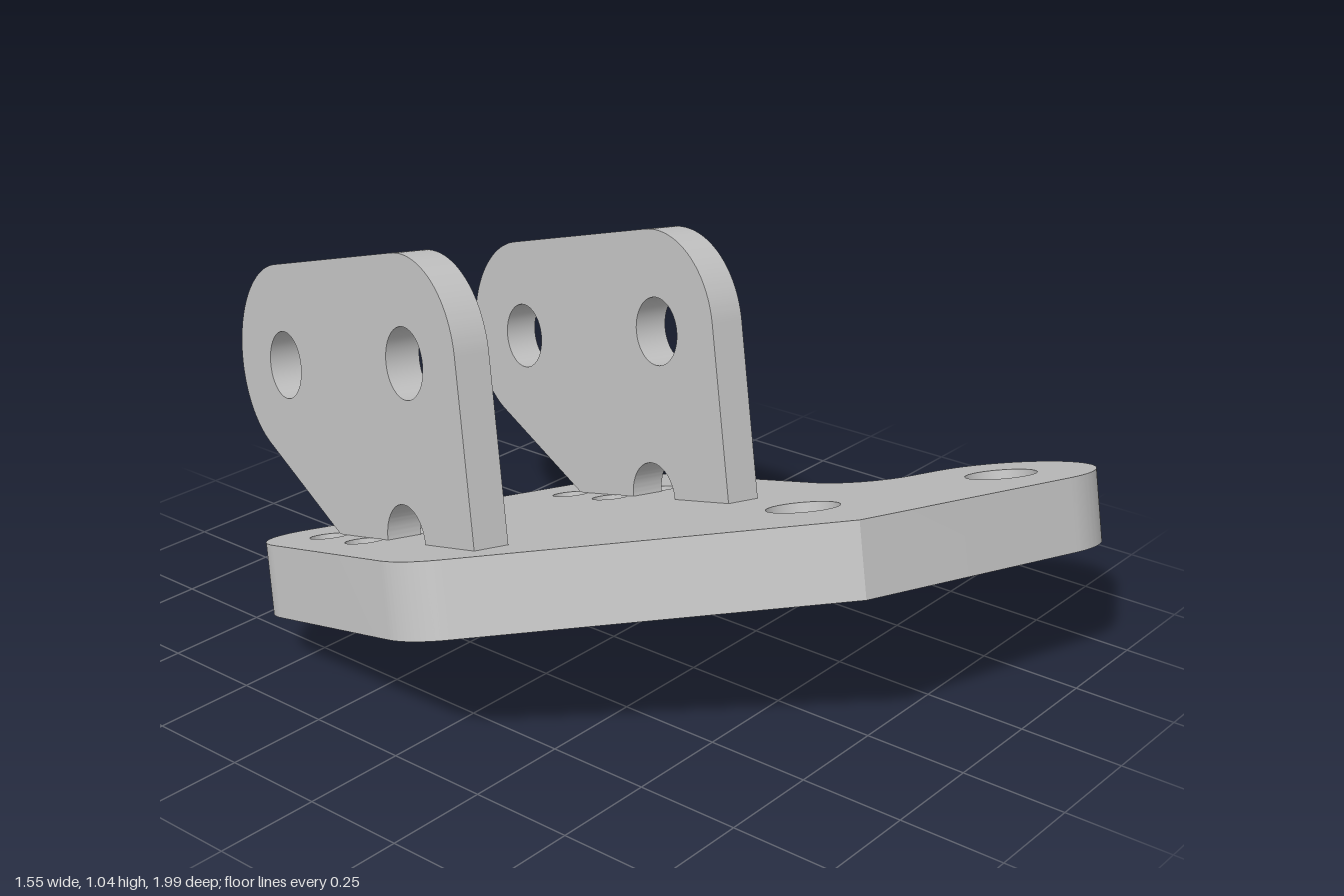
import * as THREE from 'three';
import { toCreasedNormals } from 'three/addons/utils/BufferGeometryUtils.js';

// Adds corners [x, y, radius] to a shape, rounding each corner by its radius
function addCorners(shape, corners) {
  const n = corners.length;
  corners.forEach(([x, y, r], i) => {
    const p = new THREE.Vector2(x, y);
    if (!r) {
      if (i === 0 && shape.curves.length === 0) shape.moveTo(x, y);
      else shape.lineTo(x, y);
      return;
    }
    const a = corners[(i + n - 1) % n], b = corners[(i + 1) % n];
    const d1 = new THREE.Vector2(a[0], a[1]).sub(p).normalize();
    const d2 = new THREE.Vector2(b[0], b[1]).sub(p).normalize();
    const half = Math.acos(d1.dot(d2)) / 2;
    const t = r / Math.tan(half);
    const c = d1.clone().add(d2).normalize().multiplyScalar(r / Math.sin(half)).add(p);
    const s = p.clone().addScaledVector(d1, t), e = p.clone().addScaledVector(d2, t);
    shape.lineTo(s.x, s.y);
    shape.absarc(c.x, c.y, r,
      Math.atan2(s.y - c.y, s.x - c.x), Math.atan2(e.y - c.y, e.x - c.x), d2.cross(d1) < 0);
  });
  shape.closePath();
}

function addHole(shape, x, y, r) {
  const hole = new THREE.Path();
  hole.absarc(x, y, r, 0, Math.PI * 2, true);
  shape.holes.push(hole);
}

function extrude(shape, depth) {
  const geo = new THREE.ExtrudeGeometry(shape, { depth, bevelEnabled: false, curveSegments: 24 });
  return toCreasedNormals(geo, 0.5);
}

export function createModel() {
  const model = new THREE.Group();
  model.name = 'bracket';
  const metal = new THREE.MeshStandardMaterial({ color: 0xc0c0c0 });
  metal.name = 'grey metal';

  // Tilted part frame: x across the plate, y towards its back, z along its normal
  const body = new THREE.Group();
  body.name = 'tiltedBracket';
  const across = new THREE.Vector3(0.96, -0.09, 0.26).normalize();
  const normal = new THREE.Vector3(0.156, 0.953, -0.26);
  normal.addScaledVector(across, -normal.dot(across)).normalize();
  const back = new THREE.Vector3().crossVectors(normal, across);
  body.quaternion.setFromRotationMatrix(new THREE.Matrix4().makeBasis(across, back, normal));
  model.add(body);

  const top = 0.331, thickness = 0.173;
  const lugStarts = [-0.585, 0.11], lugThickness = 0.087;

  // Base plate with a rounded ear, mounting holes and small holes beside the lugs
  const plateShape = new THREE.Shape();
  addCorners(plateShape, [
    [0.049, -0.904, 0],
    [0.906, -0.904, 0.2215],
    [0.906, -0.461, 0.2215],
    [0.435, -0.461, 0.165],
    [0.435, 0.43, 0.165],
    [-0.76, 0.43, 0.17],
    [-0.76, -0.354, 0.165],
  ]);
  addHole(plateShape, 0.684, -0.683, 0.085);
  addHole(plateShape, 0.135, -0.612, 0.085);
  for (const start of lugStarts)
    for (const side of [-1, 1])
      for (const y of [0.075, 0.255])
        addHole(plateShape, start + lugThickness / 2 + side * 0.075, y, 0.045);
  const plate = new THREE.Mesh(extrude(plateShape, thickness), metal);
  plate.name = 'basePlate';
  plate.position.z = top - thickness;
  body.add(plate);

  // Upright lug: rounded profile with two pin holes and an arch at its foot
  const lugShape = new THREE.Shape();
  lugShape.absarc(-0.07, 0, 0.087, Math.PI, 0, true);
  addCorners(lugShape, [
    [0.254, 0, 0],
    [0.695, 0.284, 0.24],
    [0.695, 0.655, 0.24],
    [-0.37, 0.655, 0.235],
    [-0.37, 0, 0],
  ]);
  addHole(lugShape, -0.145, 0.408, 0.083);
  addHole(lugShape, 0.452, 0.408, 0.083);
  const lugGeometry = extrude(lugShape, lugThickness);
  // Stand the profile up so that it is extruded across the plate
  lugGeometry.applyMatrix4(new THREE.Matrix4().makeBasis(
    new THREE.Vector3(0, 1, 0), new THREE.Vector3(0, 0, 1), new THREE.Vector3(1, 0, 0)));
  lugStarts.forEach((x, i) => {
    const lug = new THREE.Mesh(lugGeometry, metal);
    lug.name = i ? 'leftLug' : 'rightLug';
    lug.position.set(x, 0, top);
    body.add(lug);
  });

  return model;
}
